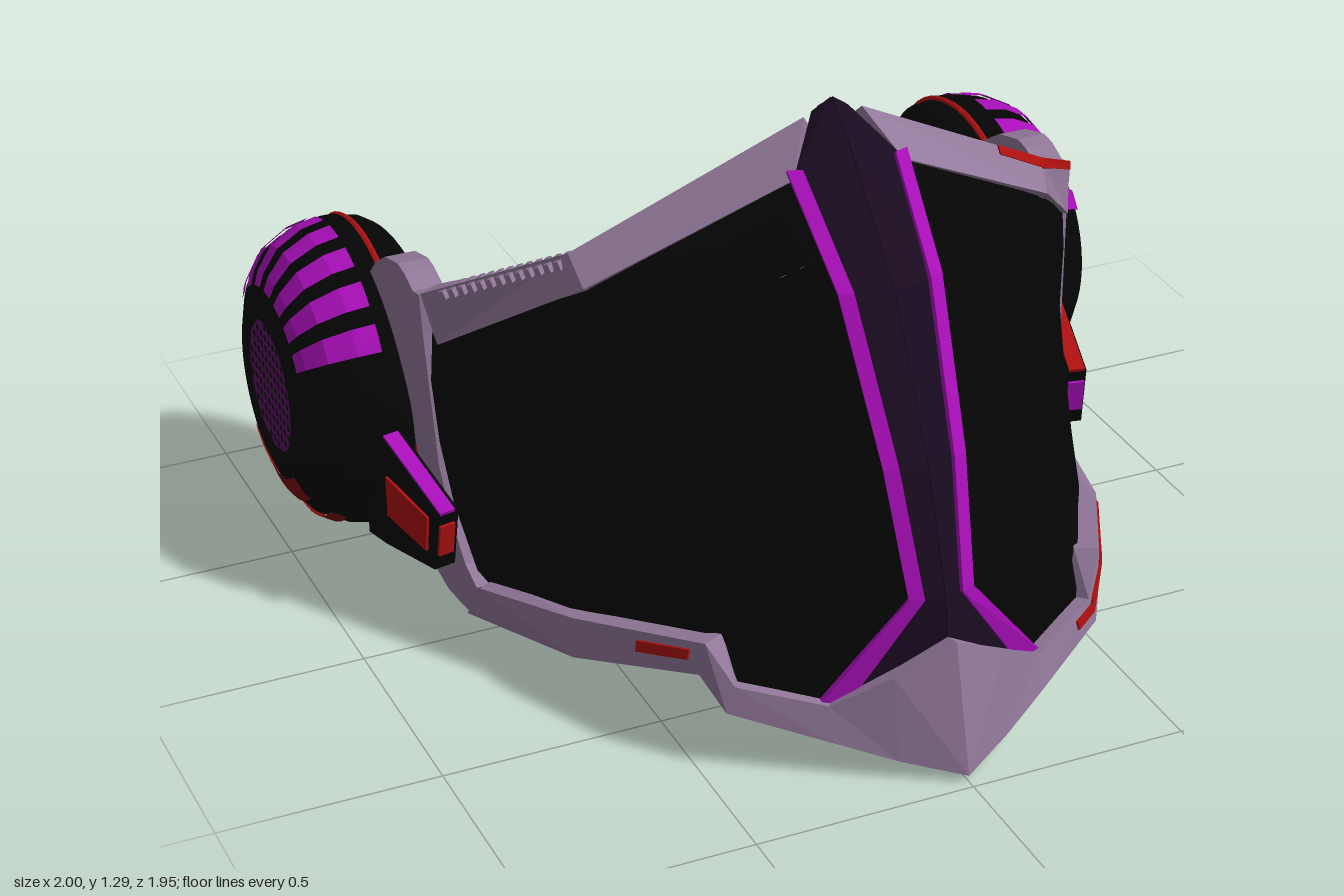
import * as THREE from 'three';
import { mergeGeometries } from 'three/addons/utils/BufferGeometryUtils.js';

const V = (a) => new THREE.Vector3(...a);
const mat = (color, flatShading = true) =>
  new THREE.MeshStandardMaterial({ color, flatShading, side: THREE.DoubleSide });
const BLACK = mat(0x050505), SMOOTH = mat(0x050505, false), LILAC = mat(0x93799b), RIDGE = mat(0x1a0b20);
const PURPLE = mat(0xa80fb8), DARKPURPLE = mat(0x5c0f66), RED = mat(0xb01010), DARKRED = mat(0x7c0c0c);

function add(group, name, geometry, material) {
  const mesh = new THREE.Mesh(geometry, material);
  mesh.name = name;
  group.add(mesh);
  return mesh;
}

// Solid strip between two edge polylines, raised by lift and sunk by depth along its normal
function band(outer, inner, lift, depth) {
  const o = outer.map(V), n = o.length, pos = [];
  let sign = 0;
  const sections = o.map((p, k) => {
    const q = V(inner[k]);
    const along = o[Math.min(k + 1, n - 1)].clone().sub(o[Math.max(k - 1, 0)]);
    const normal = along.cross(q.clone().sub(p));
    if (p.x === 0 && q.x === 0) normal.x = 0; // close the seam on the mirror plane
    normal.normalize();
    sign ||= normal.dot(p.clone().sub(V([0, 0.5, -0.2]))) > 0 ? 1 : -1;
    const at = (c, d) => c.clone().addScaledVector(normal, d * sign);
    return [at(p, lift), at(q, lift), at(q, -depth), at(p, -depth)];
  });
  const quad = (a, b, c, d) => [a, b, c, a, c, d].forEach((v) => pos.push(v.x, v.y, v.z));
  for (let k = 0; k < n - 1; k++)
    for (let e = 0; e < 4; e++) {
      const f = (e + 1) % 4;
      quad(sections[k][e], sections[k][f], sections[k + 1][f], sections[k + 1][e]);
    }
  quad(...sections[0].slice().reverse());
  quad(...sections[n - 1]);
  const g = new THREE.BufferGeometry();
  g.setAttribute('position', new THREE.Float32BufferAttribute(pos, 3));
  g.computeVertexNormals();
  return g;
}
const mix = (a, b, t) => a.map((v, k) => v + (b[k] - v) * t);

// Outline in (z, y) extruded from x0 to x1
function plate(outline, x0, x1) {
  const shape = new THREE.Shape(outline.map((p) => new THREE.Vector2(...p)));
  return new THREE.ExtrudeGeometry(shape, { depth: x1 - x0, bevelEnabled: false })
    .rotateY(-Math.PI / 2).translate(x1, 0, 0);
}

// Visor columns from the centre ridge to the temple, each from top to bottom
const COLUMNS = [
  [[.12, 1.17, .36], [.1, .98, .57], [.075, .65, .74], [.055, .38, .83], [.23, .15, .79]],
  [[.54, .96, .2], [.485, .72, .37], [.465, .5, .48], [.445, .36, .57], [.44, .19, .67]],
  [[.66, .83, .06], [.645, .65, .12], [.64, .48, .17], [.635, .31, .23], [.62, .16, .32]],
  [[.77, .75, -.1], [.78, .6, -.1], [.77, .45, -.09], [.75, .3, -.07], [.72, .12, .02]],
];
// Frame edges
const TOP_OUT = [[.06, 1.25, .28], [.55, .985, .165], [.78, .81, -.12]];
const TOP_IN = [[.12, 1.15, .36], [.54, .925, .225], [.76, .7, -.08]];
const LOW_OUT = [[0, .01, .96], [.12, .04, .89], [.24, .075, .82], [.43, .13, .7], [.46, .205, .65], [.62, .11, .34], [.72, .03, -.05]];
const LOW_IN = [[0, .3, .89], [.12, .23, .86], [.24, .155, .8], [.41, .19, .7], [.45, .285, .66], [.62, .21, .34], [.72, .145, .04]];

// Visor cells: unit squares (some with vents) mapped onto the column grid
function visor(isLeft) {
  const cells = [];
  for (let c = 0; c < 3; c++)
    for (let r = 0; r < 4; r++) {
      const s = new THREE.Shape([[0, 0], [1, 0], [1, 1], [0, 1]].map((p) => new THREE.Vector2(...p)));
      if (c === 0 && r === 0) {
        if (isLeft)
          for (const [u, v] of [[.29, .44], [.52, .34], [.87, .5], [.435, .675], [.78, .835]])
            s.holes.push(new THREE.Path().absellipse(u, v, .033, .052, 0, Math.PI * 2));
        else
          for (const v of [.24, .42, .6, .78])
            s.holes.push(new THREE.Path([[.09, v], [.35, v], [.35, v + .06], [.09, v + .06]]
              .map((p) => new THREE.Vector2(...p))));
      }
      const g = new THREE.ShapeGeometry(s, 5), p = g.attributes.position;
      for (let k = 0; k < p.count; k++) {
        const u = p.getX(k), v = p.getY(k);
        p.setXYZ(k, ...mix(mix(COLUMNS[c][r], COLUMNS[c + 1][r], u), mix(COLUMNS[c][r + 1], COLUMNS[c + 1][r + 1], u), v));
      }
      g.computeVertexNormals();
      cells.push(g);
    }
  return mergeGeometries(cells);
}

// Ear cup, turned about the x axis
function earCup() {
  const cup = new THREE.Group();
  cup.name = 'earCup';
  const turn = (pts, segments = 56, start = 0, length = Math.PI * 2) =>
    new THREE.LatheGeometry(pts.map(([r, x]) => new THREE.Vector2(r, x - .8)), segments, start, length).rotateZ(-Math.PI / 2);
  const arc = (pts, centre, half) => turn(pts, 14, centre - half, half * 2);
  add(cup, 'cupShell', turn([[.155, .985], [.16, .998], [.2, .995], [.26, .972], [.31, .932], [.345, .87], [.36, .8], [.36, .77], [.352, .755]]), SMOOTH);
  // Pad with a shallow bowl inside, slanted inward towards the front
  const pad = turn([[.352, .755], [.35, .72], [.335, .695], [.32, .692], [.305, .705], [.27, .78], [.22, .86], [.155, .92], [.155, .985]]);
  const p = pad.attributes.position;
  for (let k = 0; k < p.count; k++)
    p.setX(k, p.getX(k) - p.getZ(k) * .09 * THREE.MathUtils.clamp((-.04 - p.getX(k)) / .06, 0, 1));
  pad.computeVertexNormals();
  add(cup, 'earPad', pad, SMOOTH);
  add(cup, 'redRing', new THREE.TorusGeometry(.356, .008, 6, 56).rotateY(Math.PI / 2).translate(-.035, 0, 0), RED);
  // Purple slats over the top of the shell
  const slat = [[.235, .988], [.266, .975], [.317, .935], [.351, .873], [.362, .82]];
  for (let k = -3; k <= 3; k++)
    add(cup, 'slat', arc(slat, Math.PI * 1.5 + k * .3, .09), PURPLE);
  // Red arcs under the grille
  add(cup, 'innerRedArc', arc([[.218, .993], [.262, .977], [.275, .967]], Math.PI / 2, .7), DARKRED);
  add(cup, 'outerRedArc', arc([[.318, .934], [.338, .9]], Math.PI / 2, .75), DARKRED);
  // Perforated grille
  const disc = new THREE.Shape().absarc(0, 0, .157, 0, Math.PI * 2);
  const step = .0275;
  for (let a = -5; a <= 5; a++)
    for (let b = -5; b <= 5; b++)
      if (Math.hypot(a, b) * step < .145)
        disc.holes.push(new THREE.Path().absarc(a * step, b * step, .0095, 0, Math.PI * 2));
  add(cup, 'grille', new THREE.ShapeGeometry(disc, 6).rotateY(Math.PI / 2).translate(.19, 0, 0), DARKPURPLE);
  cup.position.set(.8, .38, -.61);
  return cup;
}

// Arm joining the temple to the ear cup, splayed outward to the back
function arm(isLeft) {
  const g = new THREE.Group();
  g.name = 'cupArm';
  const box = (pts) => plate(pts.map(([z, y]) => [z + .02, y]), -.03, .022);
  add(g, 'arm', box([[-.02, .31], [-.255, .4], [-.33, .4], [-.33, .12], [-.255, .125], [-.045, .16]]), BLACK);
  add(g, 'armPanel', box([[-.06, .287], [-.235, .31], [-.235, .21], [-.07, .198]]).translate(.006, 0, 0), isLeft ? DARKPURPLE : RED);
  const strip = (a, b) => band([[.018, ...a], [.018, ...b]], [[-.02, ...a], [-.02, ...b]], .007, .007);
  add(g, 'armTopStripe', strip([.308, 0], [.398, -.235]), isLeft ? RED : PURPLE);
  add(g, 'armFrontPanel', strip([.28, -.005], [.2, -.018]), isLeft ? PURPLE : RED);
  g.position.set(.785, 0, -.02);
  g.rotation.y = -.2;
  return g;
}

function half(isLeft) {
  const g = new THREE.Group();
  g.name = isLeft ? 'leftHalf' : 'rightHalf';
  add(g, 'visor', visor(isLeft), BLACK);
  add(g, 'visorInside', visor(isLeft).translate(...(isLeft ? [-.03, -.025, -.04] : [0, 0, -.06])), BLACK);

  // Centre ridge and its bright edge strip
  const edge = COLUMNS[0];
  add(g, 'ridge', band(
    [[0, 1.29, .28], [0, 1.22, .365], [0, .98, .59], [0, .65, .76], [0, .38, .85], [0, .17, .88]],
    [[.04, 1.26, .27], ...edge], .004, .04), RIDGE);
  const shift = (d, dz) => edge.map(([x, y, z], k) => [x + d * (k === 4 ? 2 : 1), y, z + dz]);
  add(g, 'edgeStrip', band(shift(-.017, 0), shift(.015, -.012), .018, 0), PURPLE);

  // Frame around the visor
  add(g, 'upperFrame', band(TOP_OUT, TOP_IN, .015, .045), LILAC);
  add(g, 'lowerFrame', band(LOW_OUT, LOW_IN, .02, .035), LILAC);
  // Lining behind the visor, widening downwards
  add(g, 'innerLining', band(COLUMNS[3], COLUMNS[3].map((d, r) => mix(d, COLUMNS[2][r], .04 + r * .22)), -.048, .062), LILAC);

  // Temple plate, leaning outward towards the top
  const temple = plate([
    [-.11, .81], [-.15, .8], [-.2, .82], [-.24, .825], [-.33, .8], [-.4, .755], [-.46, .7], [-.38, .63], [-.305, .52],
    [-.275, .4], [-.29, .27], [-.36, .155], [-.36, .1], [-.31, .045], [-.26, .012], [-.2, 0], [-.1, .013], [-.03, .03],
    [.04, .14], [-.02, .17], [-.07, .26], [-.09, .4], [-.11, .71]], .705, .775);
  const p = temple.attributes.position;
  for (let k = 0; k < p.count; k++) {
    const h = p.getY(k) - .4;
    p.setX(k, p.getX(k) + h * (h < 0 ? .12 : .05));
  }
  temple.computeVertexNormals();
  add(g, 'templePlate', temple, LILAC);

  // Accents differ between the two sides
  const lowStripe = (idx) => {
    const at = (t) => idx.map((k) => {
      const a = Math.floor(k), b = Math.min(a + 1, LOW_OUT.length - 1);
      return mix(mix(LOW_OUT[a], LOW_OUT[b], k - a), mix(LOW_IN[a], LOW_IN[b], k - a), t);
    });
    return band(at(.45), at(.76), .026, 0);
  };
  if (isLeft) {
    add(g, 'lowerRedStripe', lowStripe([2.7, 3, 4, 5, 5.15]), RED);
    add(g, 'upperRedStripe', band(
      [[.43, 1.05, .193], [.553, .985, .165], [.78, .812, -.12]],
      [[.43, 1.034, .206], [.55, .967, .179], [.777, .793, -.114]], .019, 0), RED);
  } else {
    add(g, 'lowerRedStripe', lowStripe([4.1, 4.5]), RED);
    // Row of small ribs along the upper frame
    for (let k = 0; k < 13; k++) {
      const rib = add(g, 'frameRib', new THREE.BoxGeometry(.06, .02, .013), LILAC);
      rib.position.set(...mix(TOP_OUT[1], TOP_OUT[2], .06 + k * .065));
      rib.lookAt(...TOP_OUT[2]);
      rib.translateY(-.012);
    }
  }

  g.add(arm(isLeft), earCup());
  if (!isLeft) g.scale.x = -1;
  return g;
}

export function createModel() {
  const model = new THREE.Group();
  model.name = 'visorMask';
  model.add(half(true), half(false));
  return model;
}
